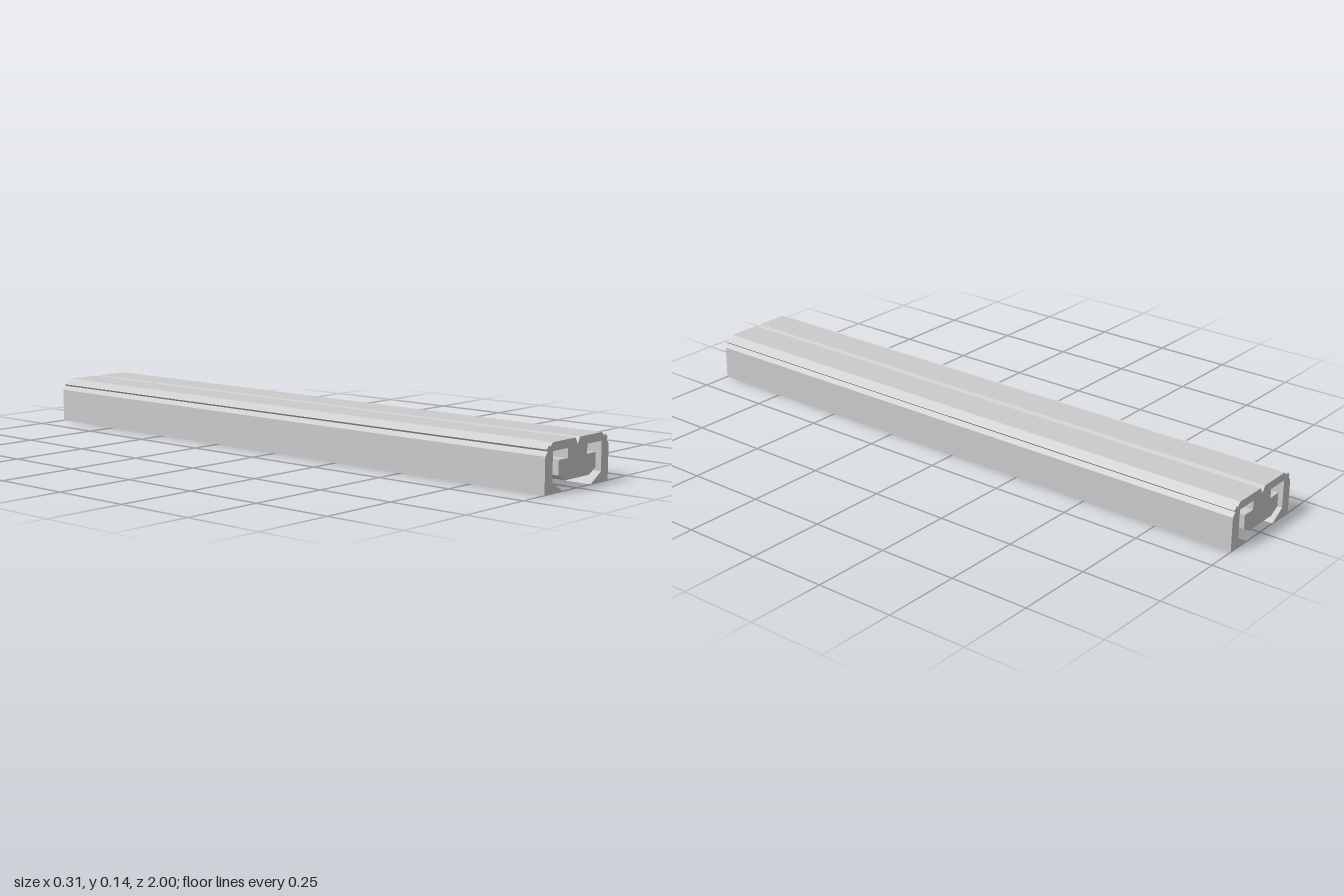
import * as THREE from 'three';

// Right half of the cross-section, from the top groove round to the underside of the core
const HALF = [
  [0.0115, 0.1415], [0.119, 0.1415],                                    // top face
  [0.131, 0.130], [0.137, 0.1355], [0.148, 0.1245], [0.1425, 0.119],    // ridge on the chamfer
  [0.154, 0.106], [0.154, 0], [0.068, 0],                               // outer wall and foot
  [0.1185, 0.030], [0.1185, 0.117], [0.047, 0.117],                     // inside of the wall
  [0.047, 0.089], [0.090, 0.089], [0.090, 0.046], [0.058, 0.0285],      // hanging core
];
const GROOVE = [0, 0.122];
const LENGTH = 2;

export function createModel() {
  const group = new THREE.Group();
  group.name = 'slottedRail';

  // Mirror the half section into one closed outline
  const mirrored = HALF.map(([x, y]) => [-x, y]).reverse();
  const outline = [GROOVE, ...HALF, ...mirrored].map(([x, y]) => new THREE.Vector2(x, y));

  // Run the section along z
  const geometry = new THREE.ExtrudeGeometry(new THREE.Shape(outline), {
    depth: LENGTH, bevelEnabled: false,
  });
  geometry.translate(0, 0, -LENGTH / 2);

  const rail = new THREE.Mesh(
    geometry,
    new THREE.MeshStandardMaterial({ color: 0xcccccc, flatShading: true }),
  );
  rail.name = 'railProfile';
  group.add(rail);
  return group;
}
